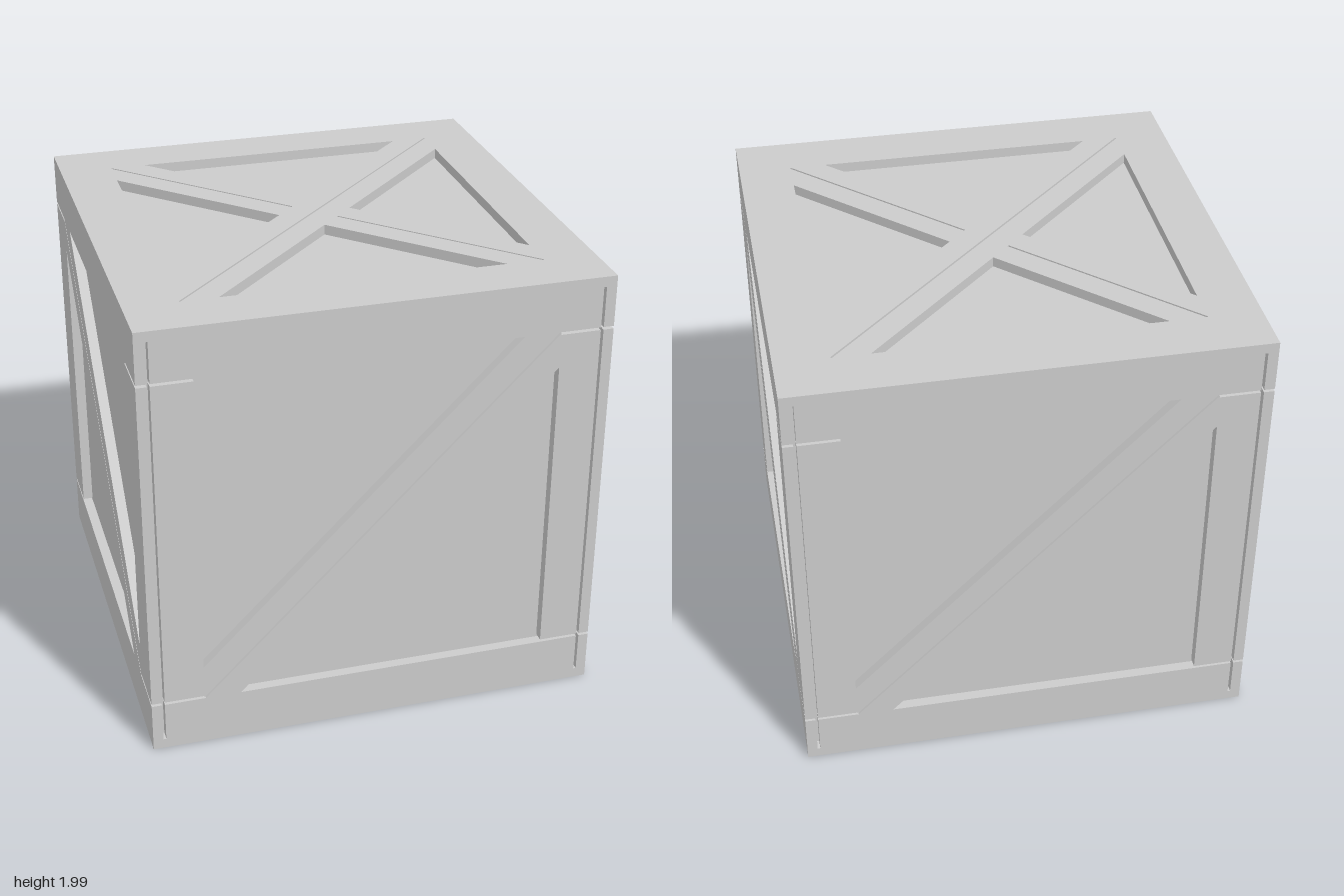
import * as THREE from 'three';

const T = 0.045;      // board thickness
const A = 0.769;      // half size of each recessed opening
const B = 0.16;       // brace half width measured along the frame
const G = 0.006;      // half of a seam between boards
const MID = 0.995;    // height of the crate's centre

const material = new THREE.MeshStandardMaterial({ color: 0xcccccc });

function board(name, points, holes = []) {
  const shape = new THREE.Shape(points.map(([x, y]) => new THREE.Vector2(x, y)));
  for (const h of holes) shape.holes.push(new THREE.Path(h.map(([x, y]) => new THREE.Vector2(x, y))));
  const mesh = new THREE.Mesh(new THREE.ExtrudeGeometry(shape, { depth: T, bevelEnabled: false }), material);
  mesh.name = name;
  return mesh;
}

const rect = (x0, y0, x1, y1) => [[x0, y0], [x1, y0], [x1, y1], [x0, y1]];

// Two planks along the rising diagonal (dir = 1) or the falling one (dir = -1)
function addBrace(group, dir) {
  const upper = [[-A, -A + G], [-A, -A + B], [A - B, A], [A - G, A]];
  for (const s of [1, -1]) {
    group.add(board('bracePlank', upper.map(([x, y]) => [s * x * dir, s * y])));
  }
}

// The second diagonal, cut where it meets the first
function addCutBrace(group) {
  const c = B / 2, g = G / 2;
  for (const s of [1, -1]) {
    const below = [[-c - g, c - g], [-A, A - G], [-A, A - B], [-B, 0]];
    const above = below.map(([x, y]) => [-y, -x]);
    for (const half of [below, above]) {
      group.add(board('cutBracePlank', half.map(([x, y]) => [s * x, s * y])));
    }
  }
}

// Upright wall: two rails, two posts and a brace
function makeWall(name, halfWidth, dir) {
  const wall = new THREE.Group();
  wall.name = name;
  const h = MID - T;
  for (const s of [1, -1]) {
    wall.add(board('rail', rect(-halfWidth, s > 0 ? A : -h, halfWidth, s > 0 ? h : -A)));
    wall.add(board('post', rect(s > 0 ? A : -halfWidth, -A + 2 * G, s > 0 ? halfWidth : -A, A - 2 * G)));
  }
  addBrace(wall, dir);
  return wall;
}

// Lid or base: one square frame with a brace
function makeCap(name) {
  const cap = new THREE.Group();
  cap.name = name;
  cap.add(board('squareFrame', rect(-1, -1, 1, 1), [rect(-A, -A, A, A)]));
  addBrace(cap, 1);
  return cap;
}

export function createModel() {
  const crate = new THREE.Group();
  crate.name = 'crate';

  // Recessed panels
  const core = new THREE.Mesh(new THREE.BoxGeometry(2 - 2 * T, 2 * (MID - T), 2 - 2 * T), material);
  core.name = 'innerPanels';
  core.position.y = MID;
  crate.add(core);

  // Four walls; the front and back boards sit between the side boards
  ['frontWall', 'leftWall', 'backWall', 'rightWall'].forEach((name, i) => {
    const side = i % 2 === 1;
    const wall = makeWall(name, side ? 1 : 1 - T - 2 * G, side ? -1 : 1);
    const angle = i * Math.PI / 2;
    wall.rotation.y = angle;
    wall.position.set(Math.sin(angle) * (1 - T), MID, Math.cos(angle) * (1 - T));
    crate.add(wall);
  });

  // Lid with crossed braces
  const lid = makeCap('lid');
  addCutBrace(lid);
  lid.rotation.x = -Math.PI / 2;
  lid.position.y = 2 * MID - T;
  crate.add(lid);

  // Base with a single brace
  const base = makeCap('base');
  base.rotation.x = Math.PI / 2;
  base.position.y = T;
  crate.add(base);

  return crate;
}
